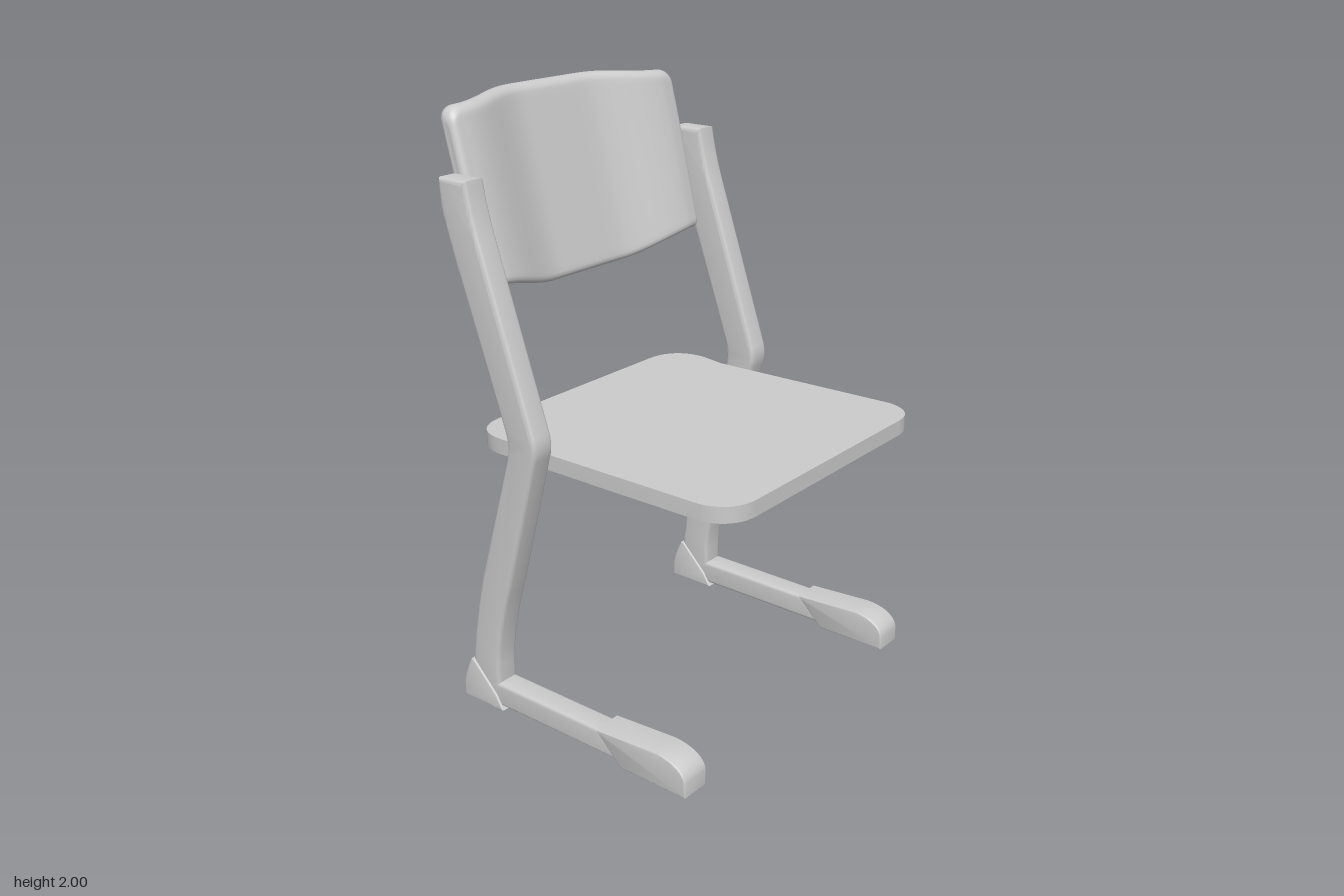
import * as THREE from 'three';
import { toCreasedNormals } from 'three/addons/utils/BufferGeometryUtils.js';

const material = new THREE.MeshStandardMaterial({ color: 0xcccccc });

function part(name, geometry) {
  const mesh = new THREE.Mesh(geometry, material);
  mesh.name = name;
  return mesh;
}

// Extrudes a (z, y) side profile across x, centred on x = 0
function sideExtrude(shape, width, bevel) {
  const g = new THREE.ExtrudeGeometry(shape, {
    depth: width - 2 * bevel, curveSegments: 10,
    bevelEnabled: true, bevelSize: bevel, bevelThickness: bevel, bevelOffset: -bevel, bevelSegments: 3,
  });
  g.translate(0, 0, -(width - 2 * bevel) / 2);
  g.rotateY(-Math.PI / 2);
  return toCreasedNormals(g, 0.6);
}

// Bent upright: straight above the seat, gently curved leg below it
function uprightGeometry() {
  const s = new THREE.Shape();
  s.moveTo(-0.41, 0.02);
  s.lineTo(-0.29, 0.02);
  s.lineTo(-0.29, 0.16);
  s.quadraticCurveTo(-0.282, 0.29, -0.22, 0.48);
  s.lineTo(-0.093, 0.94);
  s.quadraticCurveTo(-0.079, 0.985, -0.095, 1.03);
  s.lineTo(-0.285, 1.59);
  s.quadraticCurveTo(-0.32, 1.69, -0.335, 1.785);
  s.lineTo(-0.45, 1.785);
  s.lineTo(-0.445, 1.69);
  s.quadraticCurveTo(-0.425, 1.62, -0.385, 1.5);
  s.lineTo(-0.213, 1.02);
  s.quadraticCurveTo(-0.197, 0.97, -0.212, 0.92);
  s.lineTo(-0.345, 0.48);
  s.quadraticCurveTo(-0.39, 0.32, -0.41, 0.14);
  s.closePath();
  return sideExtrude(s, 0.086, 0.014);
}

function railGeometry() {
  const s = new THREE.Shape();
  s.moveTo(-0.4, 0.01);
  s.lineTo(0.3, 0.01);
  s.lineTo(0.3, 0.095);
  s.lineTo(-0.4, 0.095);
  s.closePath();
  return sideExtrude(s, 0.086, 0.014);
}

// Rounded shoe on the front end of each rail
function toeCapGeometry() {
  const s = new THREE.Shape();
  s.moveTo(0.25, 0);
  s.lineTo(0.51, 0);
  s.lineTo(0.51, 0.05);
  s.bezierCurveTo(0.505, 0.09, 0.46, 0.115, 0.39, 0.117);
  s.lineTo(0.15, 0.1);
  s.lineTo(0.17, 0.08);
  s.closePath();
  return sideExtrude(s, 0.108, 0.005);
}

// Wedge-shaped shoe on the rear corner of each frame
function heelCapGeometry() {
  const s = new THREE.Shape();
  s.moveTo(-0.45, 0);
  s.lineTo(-0.27, 0);
  s.lineTo(-0.3, 0.05);
  s.lineTo(-0.4, 0.15);
  s.lineTo(-0.412, 0.15);
  s.quadraticCurveTo(-0.445, 0.09, -0.45, 0.04);
  s.closePath();
  return sideExtrude(s, 0.1, 0.005);
}

// Flat seat with rounded corners, waisted slightly on its left edge
function seatGeometry() {
  const s = new THREE.Shape();
  s.moveTo(-0.4, -0.6);
  s.lineTo(0.4, -0.6);
  s.bezierCurveTo(0.47, -0.6, 0.515, -0.56, 0.525, -0.49);
  s.lineTo(0.5, 0.21);
  s.lineTo(0.52, 0.31);
  s.bezierCurveTo(0.52, 0.4, 0.47, 0.45, 0.38, 0.45);
  s.lineTo(-0.39, 0.45);
  s.bezierCurveTo(-0.48, 0.45, -0.53, 0.4, -0.53, 0.31);
  s.lineTo(-0.53, -0.49);
  s.bezierCurveTo(-0.52, -0.56, -0.47, -0.6, -0.4, -0.6);
  const g = new THREE.ExtrudeGeometry(s, { depth: 0.053, bevelEnabled: false, curveSegments: 10 });
  g.rotateX(-Math.PI / 2);
  g.translate(0, 0.892, 0);
  return toCreasedNormals(g, 0.6);
}

// Curved, leaning backrest lofted from rounded cross-sections along x
function backrestGeometry() {
  const half = 0.535, thick = 0.064, corner = 0.026, steps = 64, levels = 14;
  const smooth = THREE.MathUtils.smoothstep;
  const xs = [];
  for (let i = 0; i <= steps; i++) xs.push(-half * Math.cos((Math.PI * i) / steps));

  // Cross-section outline: v = 0..1 up the height, with corner offsets (dy, w)
  const outline = [];
  const arc = (v, sy, sw, from) => {
    for (let k = 0; k <= 4; k++) {
      const a = from + (k / 4) * (Math.PI / 2);
      outline.push({ v, dy: -sy * corner + corner * Math.sin(a), w: sw * (0.5 - corner / thick) + (corner / thick) * Math.cos(a) });
    }
  };
  const wall = (w, up) => {
    for (let k = 1; k < levels; k++) outline.push({ v: up ? k / levels : 1 - k / levels, dy: 0, w });
  };
  wall(0.5, true);
  arc(1, 1, 1, 0);
  arc(1, 1, -1, Math.PI / 2);
  wall(-0.5, false);
  arc(0, -1, -1, Math.PI);
  arc(0, -1, 1, Math.PI * 1.5);

  const n = outline.length, pos = [], index = [];
  const inset = (d, r) => (d >= r ? 0 : r - Math.sqrt(r * r - (r - d) * (r - d)));
  xs.forEach((x) => {
    const ax = Math.abs(x), d = half - ax;
    const bottom = 1.375 + 0.062 * smooth(ax, 0.16, 0.5) + inset(d, 0.025);
    const top = 2 - 0.018 * smooth(ax, 0.2, 0.52) - inset(d, 0.05);
    const t = thick - 2 * inset(d, 0.024);
    const bow = 0.078 * smooth(ax, 0.14, 0.47) - 0.006 * smooth(ax, 0.46, 0.535);
    outline.forEach((p) => {
      const y = bottom + (top - bottom) * p.v + p.dy;
      const z = -0.412 - 0.256 * (y - 1.375) + bow + p.w * t;
      pos.push(x * (0.982 + 0.018 * smooth(y, 1.4, 1.85)), y, z);
    });
  });
  for (let i = 0; i < steps; i++) {
    for (let j = 0; j < n; j++) {
      const a = i * n + j, b = i * n + ((j + 1) % n);
      index.push(a, a + n, b, b, a + n, b + n);
    }
  }
  // Close both ends
  [0, steps].forEach((row) => {
    const c = pos.length / 3, mean = [0, 0, 0];
    for (let j = 0; j < n; j++) for (let k = 0; k < 3; k++) mean[k] += pos[(row * n + j) * 3 + k] / n;
    pos.push(...mean);
    for (let j = 0; j < n; j++) {
      const a = row * n + j, b = row * n + ((j + 1) % n);
      if (row === 0) index.push(c, a, b);
      else index.push(c, b, a);
    }
  });
  const g = new THREE.BufferGeometry();
  g.setAttribute('position', new THREE.Float32BufferAttribute(pos, 3));
  g.setIndex(index);
  g.computeVertexNormals();
  return g;
}

export function createModel() {
  const chair = new THREE.Group();
  chair.name = 'chair';
  chair.add(part('seat', seatGeometry()), part('backrest', backrestGeometry()));

  const pieces = {
    Upright: uprightGeometry(), FootRail: railGeometry(),
    ToeCap: toeCapGeometry(), HeelCap: heelCapGeometry(),
  };
  for (const [side, sign] of [['left', 1], ['right', -1]]) {
    const frame = new THREE.Group();
    frame.name = side + 'Frame';
    for (const [name, geometry] of Object.entries(pieces)) frame.add(part(side + name, geometry));
    frame.position.x = sign * 0.569;
    chair.add(frame);
  }
  return chair;
}
